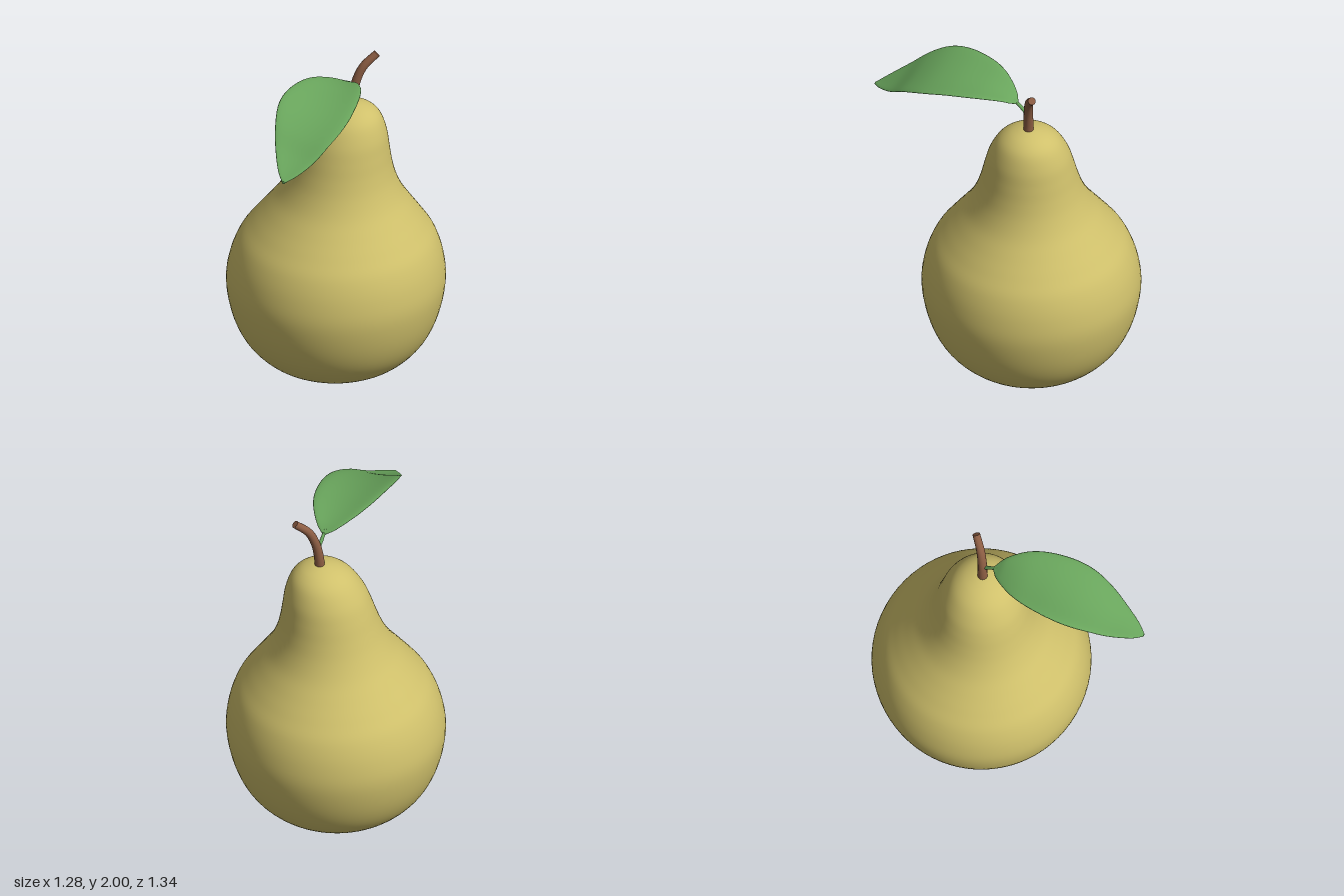
import * as THREE from 'three';
import { mergeVertices } from 'three/addons/utils/BufferGeometryUtils.js';

const mat = (name, color) => Object.assign(new THREE.MeshStandardMaterial({ color }), { name });
const skin = mat('pear skin', 0xcfc06b);
const bark = mat('stem brown', 0x8c5d43);
const green = mat('leaf green', 0x69a55c);
const dark = mat('calyx brown', 0x553828);

const v3 = (a) => new THREE.Vector3(...a);

// Smooth curve of values over keys: returns a sampler y(x)
function sampler(keys) {
  return (x) => {
    let i = 0;
    while (i < keys.length - 2 && x > keys[i + 1][0]) i++;
    const slope = (k) => {
      const a = keys[Math.max(k - 1, 0)], b = keys[Math.min(k + 1, keys.length - 1)];
      return (b[1] - a[1]) / (b[0] - a[0]);
    };
    const [x0, y0] = keys[i], [x1, y1] = keys[i + 1], h = x1 - x0, t = (x - x0) / h;
    return y0 * (1 + 2 * t) * (1 - t) ** 2 + slope(i) * h * t * (1 - t) ** 2
      + y1 * t * t * (3 - 2 * t) + slope(i + 1) * h * t * t * (t - 1);
  };
}

function add(group, name, geometry, material) {
  const mesh = new THREE.Mesh(geometry, material);
  mesh.name = name;
  group.add(mesh);
  return mesh;
}

// Turned body whose axis leans gently toward the stem
function bodyGeometry() {
  const profile = [
    [0, 0.03], [0.1, 0.018], [0.2, 0.001], [0.3, 0.02], [0.42, 0.085], [0.525, 0.2],
    [0.592, 0.35], [0.624, 0.53], [0.608, 0.68], [0.562, 0.81], [0.495, 0.91],
    [0.425, 1.005], [0.36, 1.1], [0.312, 1.2], [0.28, 1.3], [0.256, 1.4], [0.228, 1.5],
    [0.18, 1.595], [0.12, 1.65], [0.05, 1.678], [0, 1.682],
  ].map(([r, y]) => new THREE.Vector2(r, y));
  const points = new THREE.SplineCurve(profile).getPoints(100);
  points.forEach((p) => { p.x = Math.max(p.x, 0); });
  points[0].x = points[100].x = 0;
  let g = new THREE.LatheGeometry(points, 72);
  const leanX = sampler([[0, 0.01], [0.55, 0.014], [1, 0.03], [1.4, 0.055], [1.69, 0.095]]);
  const leanZ = sampler([[0, -0.05], [0.55, -0.047], [1, -0.035], [1.4, -0.02], [1.69, 0]]);
  const pos = g.attributes.position;
  for (let i = 0; i < pos.count; i++) {
    const y = pos.getY(i);
    pos.setX(i, pos.getX(i) + leanX(y));
    pos.setZ(i, pos.getZ(i) + leanZ(y));
  }
  g.deleteAttribute('uv');
  g.deleteAttribute('normal');
  g = mergeVertices(g, 1e-5);
  g.computeVertexNormals();
  return g;
}

// Tube that tapers from r0 to r1
function taperedTube(path, r0, r1, segments = 24, sides = 16) {
  const curve = new THREE.CatmullRomCurve3(path.map(v3));
  const g = new THREE.TubeGeometry(curve, segments, 1, sides);
  const pos = g.attributes.position, p = new THREE.Vector3();
  for (let i = 0; i < pos.count; i++) {
    const t = Math.floor(i / (sides + 1)) / segments;
    const c = curve.getPointAt(t);
    p.fromBufferAttribute(pos, i).sub(c).multiplyScalar(r0 + (r1 - r0) * t).add(c);
    pos.setXYZ(i, p.x, p.y, p.z);
  }
  return { g, curve };
}

// Thin cupped leaf with a curled rim: closed cross-sections swept from base to tip
function leafGeometry() {
  const base = [0.05, 0.05], dir = [-0.746, 0.665], side = [-0.665, -0.746], length = 0.917;
  const width = sampler([[0, 0.012], [0.03, 0.055], [0.08, 0.098], [0.16, 0.147], [0.27, 0.184],
    [0.43, 0.206], [0.55, 0.198], [0.68, 0.157], [0.78, 0.108], [0.87, 0.052], [0.917, 0.008]]);
  const edge = sampler([[0, 1.85], [0.06, 1.893], [0.16, 1.93], [0.27, 1.943], [0.4, 1.938],
    [0.53, 1.908], [0.65, 1.848], [0.76, 1.765], [0.917, 1.665]]);
  const roll = sampler([[0, 0], [0.06, 0], [0.26, 0.018], [0.53, 0.036], [0.76, 0.022], [0.917, 0]]);
  const rows = 48, half = 16, ring = half * 2, verts = [], index = [];
  for (let i = 0; i <= rows; i++) {
    const s = length * (0.5 - 0.5 * Math.cos(Math.PI * i / rows)), w = width(s);
    for (let j = 0; j < ring; j++) {
      const a = 2 * Math.PI * j / ring, u = Math.cos(a);
      const cup = (w / 0.2) * (0.036 * (1 - u * u) + 0.012 * u ** 8);
      verts.push(base[0] + dir[0] * s + side[0] * w * u,
        edge(s) + roll(s) * u - cup + 0.008 * Math.sin(a),
        base[1] + dir[1] * s + side[1] * w * u);
      if (i < rows) {
        const p = i * ring + j, q = i * ring + (j + 1) % ring;
        index.push(p, p + ring, q, q, p + ring, q + ring);
      }
    }
  }
  // Close both ends
  for (let j = 1; j < ring - 1; j++) {
    const e = rows * ring;
    index.push(0, j, j + 1, e, e + j + 1, e + j);
  }
  const g = new THREE.BufferGeometry();
  g.setAttribute('position', new THREE.Float32BufferAttribute(verts, 3));
  // Wind the faces so that the upper middle points up
  g.setIndex(index);
  g.computeVertexNormals();
  if (g.attributes.normal.getY((rows / 2) * ring + half / 2) < 0) {
    g.setIndex(index.reverse());
    g.computeVertexNormals();
  }
  return g;
}

export function createModel() {
  const model = new THREE.Group();
  model.name = 'pear';

  add(model, 'body', bodyGeometry(), skin);

  // Curved woody stem with a flat cut end
  const stem = taperedTube([[0.094, 1.63, 0], [0.098, 1.72, 0.001], [0.115, 1.82, 0.008],
    [0.155, 1.91, 0.018], [0.234, 1.983, 0.03]], 0.03, 0.022);
  add(model, 'stem', stem.g, bark);
  const cut = add(model, 'stemEnd', new THREE.CircleGeometry(0.022, 16), bark);
  const end = stem.curve.getPointAt(1);
  cut.position.copy(end);
  cut.lookAt(end.clone().add(stem.curve.getTangentAt(1)));

  // Leaf and its stalk
  const stalk = taperedTube([[0.108, 1.785, 0.005], [0.08, 1.812, 0.024], [0.055, 1.84, 0.046],
    [0.03, 1.862, 0.068]], 0.012, 0.009, 12, 10);
  add(model, 'leafStalk', stalk.g, green);
  add(model, 'leaf', leafGeometry(), green);

  // Dried blossom end in the hollow underneath
  const calyx = add(model, 'calyx', new THREE.SphereGeometry(0.055, 24, 12), dark);
  calyx.scale.y = 0.25;
  calyx.position.set(0.01, 0.026, -0.05);

  return model;
}
